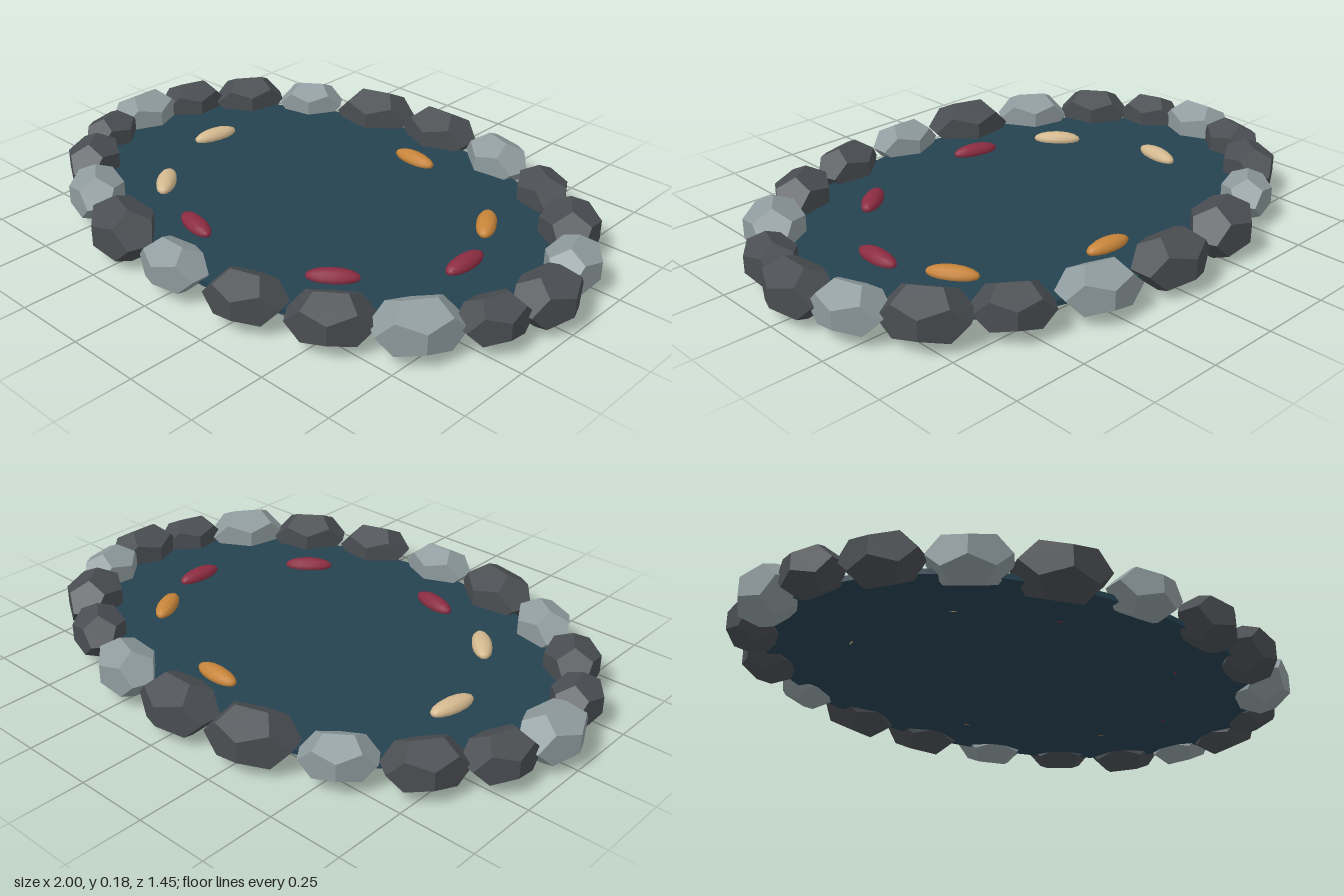
import * as THREE from 'three';

const mat = (name, color, flatShading = false) => {
  const m = new THREE.MeshStandardMaterial({ color, flatShading });
  m.name = name;
  return m;
};

export function createModel() {
  const pond = new THREE.Group();
  pond.name = 'pond';
  const water = mat('deepWater', 0x264250);
  const dark = mat('darkStone', 0x4a4e52, true);
  const light = mat('lightStone', 0x8f9b9e, true);
  const orange = mat('orangeFish', 0xc8853a);
  const red = mat('redFish', 0x8c2c42);
  const cream = mat('creamFish', 0xd4b98f);

  // Thin oval sheet of water
  const sheet = new THREE.Mesh(new THREE.CylinderGeometry(1, 1, 0.018, 48), water);
  sheet.name = 'water';
  sheet.scale.set(0.88, 1, 0.615);
  sheet.position.y = 0.062;
  pond.add(sheet);

  // Ring of flattened stones, each turned along the rim; values are half lengths
  const halfLengths = [0.13, 0.115, 0.135, 0.13, 0.125, 0.12, 0.143, 0.125, 0.125, 0.113,
    0.13, 0.12, 0.125, 0.115, 0.14, 0.138, 0.128, 0.12, 0.135, 0.122];
  const lightOnes = new Set([2, 5, 7, 10, 13, 16, 19]);
  const stoneShape = new THREE.DodecahedronGeometry(1 / 0.934);
  const rim = new THREE.Group();
  rim.name = 'stoneRim';
  halfLengths.forEach((a, i) => {
    const t = (i / halfLengths.length) * Math.PI * 2;
    const stone = new THREE.Mesh(stoneShape, lightOnes.has(i) ? light : dark);
    stone.name = 'stone';
    stone.scale.set(a, a * 0.64, a * 0.72);
    stone.position.set(0.905 * Math.cos(t), 0.0915, 0.63 * Math.sin(t));
    stone.rotation.y = Math.PI / 2 - t;
    rim.add(stone);
  });
  pond.add(rim);

  // Fish at the surface: x, z, heading x, heading z, colour
  const fishShape = new THREE.SphereGeometry(1, 10, 8);
  fishShape.rotateZ(Math.PI / 2);
  [
    [0.055, -0.425, 1, 0.06, orange],
    [0.515, -0.23, 0.5, 0.8, orange],
    [0.61, 0.005, 0, 1, red],
    [0.375, 0.335, 0.77, -0.6, red],
    [-0.15, 0.412, 1, 0.25, red],
    [-0.445, 0.287, 0.67, 0.75, cream],
    [-0.595, -0.07, 0.17, -1, cream],
  ].forEach(([x, z, dx, dz, colour]) => {
    const fish = new THREE.Mesh(fishShape, colour);
    fish.name = 'fish';
    fish.scale.set(0.084, 0.026, 0.034);
    fish.position.set(x, 0.078, z);
    fish.rotation.y = -Math.atan2(dz, dx);
    pond.add(fish);
  });

  return pond;
}
